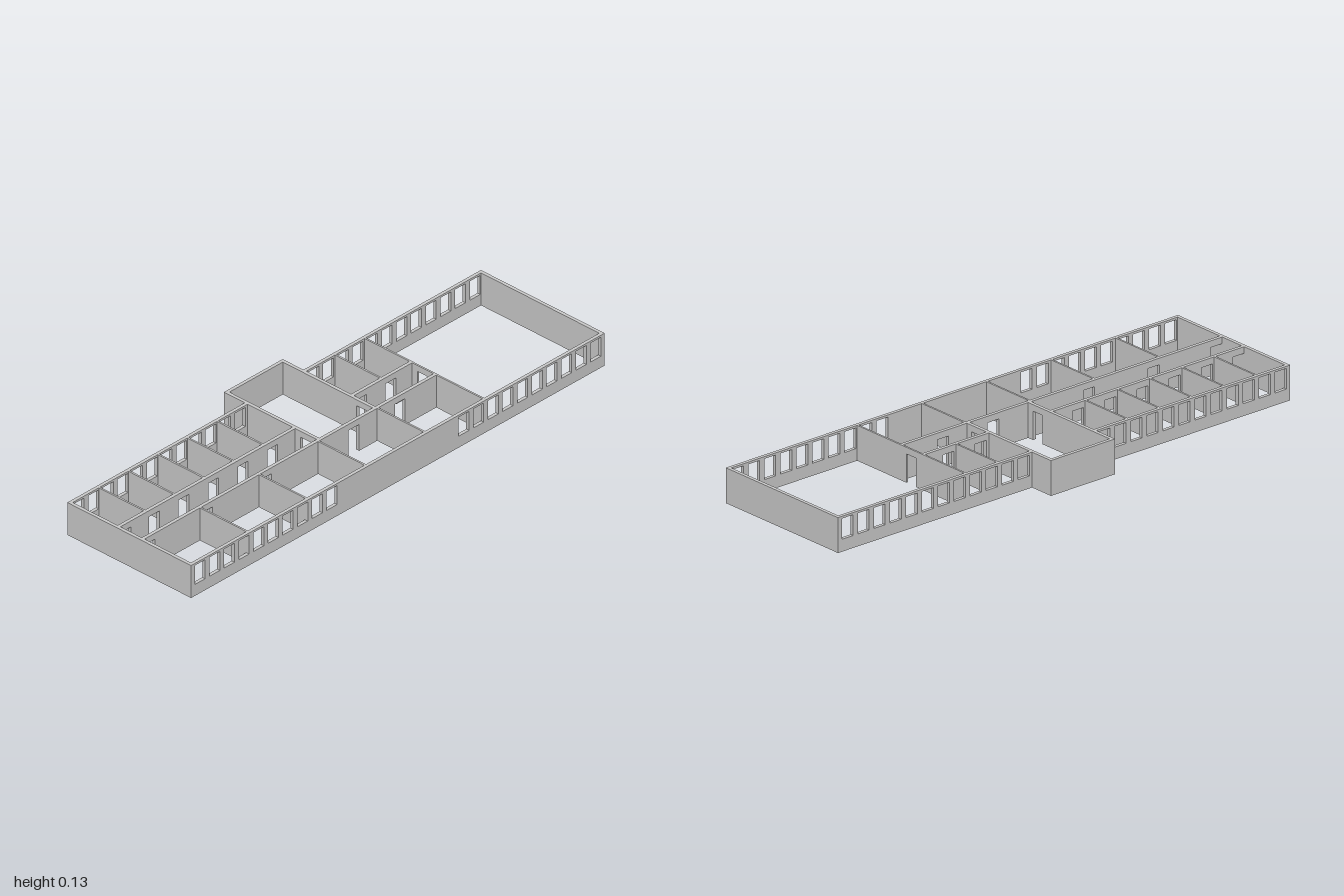
import * as THREE from 'three';

const H = 0.128;          // wall height
const DOOR_H = 0.104, OPEN_W = 0.05;
const SILL = 0.045, LINTEL = 0.12;
const T = 0.013, THIN = 0.007; // main walls and partitions

const material = new THREE.MeshStandardMaterial({ color: 0xcccccc, flatShading: true });

// Upright wall from a to b along one axis, centred on the other axis at c.
// doors and windows are lists of opening centres along the wall.
function wall(name, axis, a, b, c, t, doors = [], windows = []) {
  const s = new THREE.Shape();
  s.moveTo(a, 0);
  for (const d of [...doors].sort((p, q) => p - q)) {
    s.lineTo(d - OPEN_W / 2, 0);
    s.lineTo(d - OPEN_W / 2, DOOR_H);
    s.lineTo(d + OPEN_W / 2, DOOR_H);
    s.lineTo(d + OPEN_W / 2, 0);
  }
  s.lineTo(b, 0);
  s.lineTo(b, H);
  s.lineTo(a, H);
  s.closePath();
  for (const w of windows) {
    const h = new THREE.Path();
    h.moveTo(w - OPEN_W / 2, SILL);
    h.lineTo(w - OPEN_W / 2, LINTEL);
    h.lineTo(w + OPEN_W / 2, LINTEL);
    h.lineTo(w + OPEN_W / 2, SILL);
    h.closePath();
    s.holes.push(h);
  }
  const g = new THREE.ExtrudeGeometry(s, { depth: t, bevelEnabled: false });
  g.translate(0, 0, -t / 2);
  if (axis === 'x') g.translate(0, 0, c);
  else g.rotateY(-Math.PI / 2).translate(c, 0, 0); // shape x becomes z
  const m = new THREE.Mesh(g, material);
  m.name = name;
  return m;
}

const row = (start, step, n) => Array.from({ length: n }, (_, i) => start + step * i);

export function createModel() {
  const model = new THREE.Group();
  model.name = 'floorOfBuilding';
  const add = (...args) => model.add(wall(...args));

  const front = 0.333, back = -0.237, hallBack = -0.333, hallX = 0.142;
  const corrBack = -0.011, corrFront = 0.1, hallEnd = 0.427;
  const pitch = 0.0709;

  // Outer walls with window rows
  const frontRow = row(0.319, pitch, 10);
  const backRow = row(0.178, pitch, 12);
  add('frontWall', 'x', -1, 1, front - T / 2, T, [], [...frontRow.map(x => -x), ...frontRow]);
  add('backWallRight', 'x', -1, -hallX, back + T / 2, T, [], backRow.map(x => -x));
  add('backWallLeft', 'x', hallX, 1, back + T / 2, T, [], backRow);
  for (const s of [-1, 1])
    add(s < 0 ? 'endWallRight' : 'endWallLeft', 'z', back + T, front - T, s * (1 - T / 2), T);

  // Projecting stair hall
  add('hallBackWall', 'x', -hallX, hallX, hallBack + T / 2, T);
  for (const s of [-1, 1])
    add('hallSideWall', 'z', hallBack + T, corrFront - T / 2, s * (hallX - T / 2), T, [0.045]);

  // Corridor walls with room doors
  const smallRooms = row(-0.858, 0.1427, 5);
  const largeRooms = row(-0.716, 0.2857, 4);
  add('corridorBackWallRight', 'x', -1 + T, -hallX, corrBack, T,
    [-0.962, ...smallRooms.map(x => x + 0.035)]);
  add('corridorBackWallLeft', 'x', hallX, hallEnd, corrBack, T, [0.178, 0.32]);
  add('corridorFrontWall', 'x', -1 + T, hallEnd, corrFront, T,
    [-0.961, -0.684, -0.398, 0.025, 0.248]);

  // Partitions between rooms
  for (const x of [...smallRooms, 0.284])
    add('smallRoomPartition', 'z', back + T, corrBack - T / 2, x, THIN);
  for (const x of largeRooms)
    add('largeRoomPartition', 'z', corrFront + T / 2, front - T, x, THIN);

  // Wall closing off the large open room
  add('openRoomPartition', 'z', back + T, front - T, hallEnd, THIN, [0.045]);

  return model;
}
